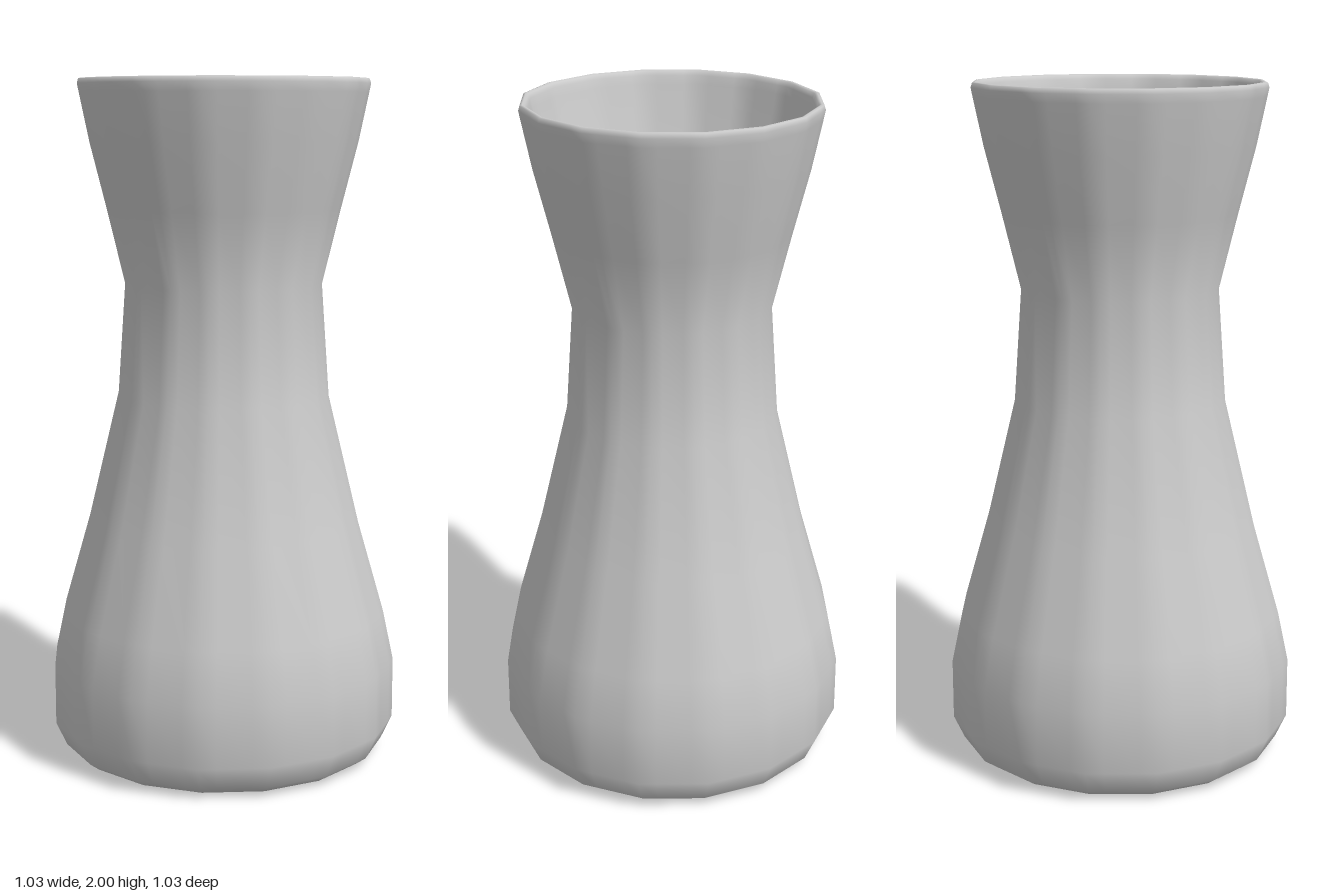
import * as THREE from 'three';
import { mergeVertices } from 'three/addons/utils/BufferGeometryUtils.js';

const SIDES = 16;
const TURN = 0.04; // slight twist of the facets about the axis

// Closed base, outer wall, rounded rim, then the inner wall down to an open end
const PROFILE = [
  [0, 0], [0.43, 0], [0.455, 0.008], [0.485, 0.03], [0.517, 0.1], [0.517, 0.28], [0.485, 0.43],
  [0.407, 0.7], [0.315, 1.08], [0.292, 1.41], [0.345, 1.63], [0.393, 1.82], [0.422, 1.96],
  [0.427, 1.985], [0.423, 1.998], [0.416, 2], [0.409, 1.997], [0.403, 1.985],
  [0.398, 1.96], [0.369, 1.82], [0.321, 1.63], [0.263, 1.41], [0.288, 1.08],
  [0.381, 0.7], [0.459, 0.43], [0.491, 0.28], [0.491, 0.1], [0.46, 0.04],
];

// Lathe with a polygonal section; each flat side is split in three so only its edges are softened
function facetedLathe(profile) {
  const points = profile.map(([r, y]) => new THREE.Vector2(r, y));
  const geometry = new THREE.LatheGeometry(points, SIDES * 3);
  const pos = geometry.attributes.position;
  const step = (Math.PI * 2) / SIDES;
  for (let i = 0; i < pos.count; i++) {
    const column = Math.floor(i / points.length) % (SIDES * 3);
    const r = points[i % points.length].x;
    const a = TURN + Math.floor(column / 3) * step;
    const t = [0, 0.25, 0.75][column % 3];
    pos.setX(i, r * THREE.MathUtils.lerp(Math.sin(a), Math.sin(a + step), t));
    pos.setZ(i, r * THREE.MathUtils.lerp(Math.cos(a), Math.cos(a + step), t));
  }
  geometry.deleteAttribute('normal');
  geometry.deleteAttribute('uv');
  const welded = mergeVertices(geometry, 1e-5);
  welded.computeVertexNormals();
  return welded;
}

export function createModel() {
  const group = new THREE.Group();
  group.name = 'vase';
  const body = new THREE.Mesh(
    facetedLathe(PROFILE),
    new THREE.MeshStandardMaterial({ color: 0xcccccc }),
  );
  body.name = 'vaseBody';
  group.add(body);
  return group;
}
